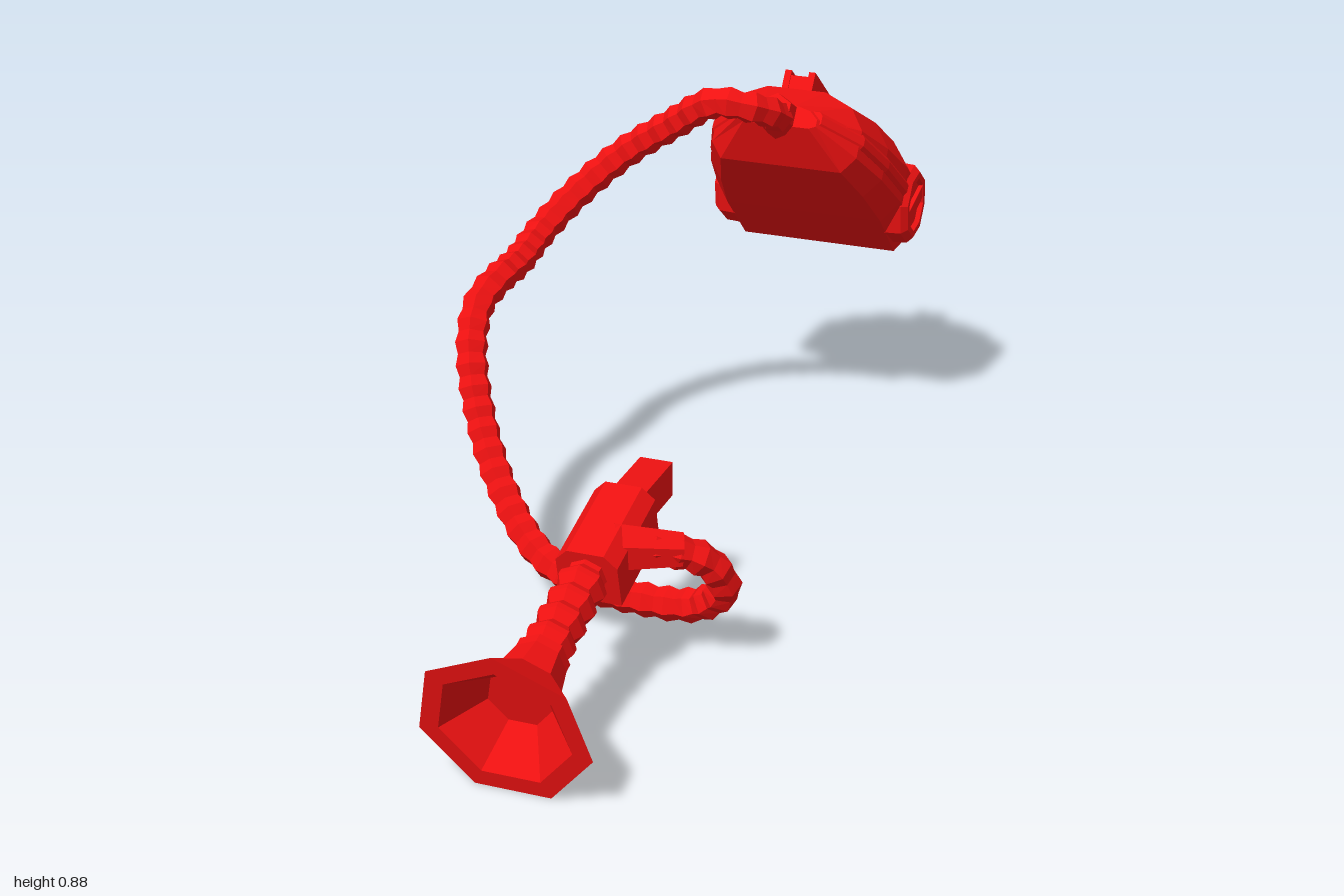
import * as THREE from 'three';

const red = new THREE.MeshStandardMaterial({ color: 0xee1111, flatShading: true });

function add(parent, name, geometry, x = 0, y = 0, z = 0) {
  const mesh = new THREE.Mesh(geometry, red);
  mesh.name = name;
  mesh.position.set(x, y, z);
  parent.add(mesh);
  return mesh;
}

// Closed skin through rings of [x, y, z] points, counter-clockwise and running towards -z
function loft(rings) {
  const n = rings[0].length, last = (rings.length - 1) * n, index = [];
  for (let i = 0; i < rings.length - 1; i++) {
    for (let j = 0; j < n; j++) {
      const a = i * n + j, b = i * n + (j + 1) % n;
      index.push(a, a + n, b, b, a + n, b + n);
    }
  }
  for (let j = 1; j < n - 1; j++) {
    index.push(0, j, j + 1, last, last + j + 1, last + j);
  }
  const g = new THREE.BufferGeometry();
  g.setAttribute('position', new THREE.Float32BufferAttribute(rings.flat(2), 3));
  g.setIndex(index);
  g.computeVertexNormals();
  return g;
}

const mirrorRing = (half, z) => [
  ...half.map(([x, y]) => [x, y, z]),
  ...half.slice().reverse().map(([x, y]) => [-x, y, z]),
];

function makeTank() {
  const tank = new THREE.Group();
  tank.name = 'tank';
  tank.position.set(0.13, 0.8, -0.49);
  tank.rotation.x = -0.6435;

  // Shell stations: distance from the hose end, half width, bottom, top
  const stations = [
    [0, 0.085, -0.012, 0.035], [0.09, 0.158, -0.07, 0.1], [0.2, 0.19, -0.083, 0.114],
    [0.32, 0.208, -0.096, 0.116], [0.485, 0.206, -0.112, 0.112], [0.572, 0.165, -0.088, 0.082],
  ];
  add(tank, 'tankShell', loft(stations.map(([a, w, lo, hi]) => mirrorRing([
    [w * 0.83, lo], [w, lo * 0.5], [w, hi * 0.25], [w * 0.8, hi * 0.72], [w * 0.4, hi],
  ], -a))));

  // Raised seam around the front half
  add(tank, 'seamBand', loft(stations.slice(0, 4).map(([a, w], i) => {
    const y = 0.012 - i * 0.009, e = w + 0.008;
    return mirrorRing([[e - 0.006, y - 0.016], [e, y - 0.008], [e, y + 0.008], [e - 0.006, y + 0.016]], -a - 0.006);
  })));

  // Top rail: low centre strip between two lips
  add(tank, 'railCentre', new THREE.BoxGeometry(0.05, 0.06, 0.43), 0, 0.1, -0.307);
  for (const s of [-1, 1]) {
    add(tank, 'railLip', new THREE.BoxGeometry(0.014, 0.06, 0.435), s * 0.026, 0.11, -0.307);

    // Octagonal side cap with a slotted face
    const cap = new THREE.Group();
    cap.name = 'sideCap';
    cap.position.set(s * 0.2, -0.022, -0.413);
    cap.rotation.z = -s * Math.PI / 2;
    tank.add(cap);
    const profile = [[0, -0.03], [0.087, -0.03], [0.085, 0.006], [0.072, 0.019], [0.058, 0.019], [0.054, 0.009], [0, 0.009]];
    add(cap, 'capRing', new THREE.LatheGeometry(profile.map(p => new THREE.Vector2(...p)), 8, Math.PI / 8));
    const bar = add(cap, 'capBar', new THREE.BoxGeometry(0.028, 0.012, 0.11), 0, 0.012, 0);
    bar.rotation.y = s * 0.9;
  }

  // Hose collar
  const collar = add(tank, 'hoseCollar', new THREE.CylinderGeometry(0.037, 0.046, 0.05, 6), 0, 0.01, 0.005);
  collar.rotation.x = Math.PI / 2;
  return tank;
}

function makeHose() {
  const path = new THREE.CatmullRomCurve3([
    [0.13, 0.79, -0.51], [0.135, 0.825, -0.45], [0.1, 0.85, -0.4], [0.03, 0.855, -0.39],
    [-0.07, 0.79, -0.41], [-0.17, 0.72, -0.405], [-0.255, 0.64, -0.345], [-0.3, 0.58, -0.26],
    [-0.307, 0.55, -0.15], [-0.315, 0.54, -0.06], [-0.328, 0.51, 0], [-0.315, 0.44, 0.07],
    [-0.265, 0.32, 0.14], [-0.185, 0.21, 0.215], [-0.09, 0.135, 0.28], [0.005, 0.105, 0.315],
    [0.14, 0.098, 0.33], [0.26, 0.11, 0.335], [0.325, 0.175, 0.37], [0.305, 0.245, 0.41],
    [0.25, 0.275, 0.445], [0.18, 0.285, 0.48],
  ].map(p => new THREE.Vector3(...p)));
  const segments = 100, sides = 6;
  const g = new THREE.TubeGeometry(path, segments, 0.035, sides);
  // Pinch every other ring to make the ribs
  const pos = g.attributes.position, v = new THREE.Vector3();
  for (let i = 1; i <= segments; i += 2) {
    const c = path.getPointAt(i / segments);
    for (let j = 0; j <= sides; j++) {
      const k = i * (sides + 1) + j;
      v.fromBufferAttribute(pos, k).sub(c).multiplyScalar(0.82).add(c);
      pos.setXYZ(k, v.x, v.y, v.z);
    }
  }
  return g;
}

function makeGun() {
  const gun = new THREE.Group();
  gun.name = 'sprayGun';
  gun.position.set(0.13, 0.155, 0.955);
  gun.rotation.x = 0.262;

  // Ribbed pipe, flared horn and its hollow mouth in one seven-sided turn
  const profile = [[0, -0.42], [0.04, -0.42]];
  for (let i = 0; i < 4; i++) {
    const t = -0.395 + i * 0.05;
    profile.push([0.036, t], [0.048, t + 0.018], [0.048, t + 0.03]);
  }
  profile.push([0.042, -0.195], [0.051, -0.188], [0.051, -0.17], [0.063, -0.11], [0.166, 0], [0.128, 0], [0.062, -0.075], [0, -0.075]);
  const horn = new THREE.LatheGeometry(profile.map(p => new THREE.Vector2(...p)), 7, Math.PI);
  add(gun, 'nozzle', horn.rotateX(Math.PI / 2));

  // Body with bevelled top edges
  const s = new THREE.Shape([[-0.06, -0.062], [0.06, -0.062], [0.06, 0.025], [0.036, 0.05], [-0.036, 0.05], [-0.06, 0.025]]
    .map(p => new THREE.Vector2(...p)));
  add(gun, 'gunBody', new THREE.ExtrudeGeometry(s, { depth: 0.2, bevelEnabled: false }), 0, 0, -0.605);
  return gun;
}

export function createModel() {
  const model = new THREE.Group();
  model.name = 'hoseSprayer';
  model.add(makeTank(), makeGun());
  add(model, 'hose', makeHose());

  // Rear grip
  add(model, 'grip', new THREE.BoxGeometry(0.066, 0.07, 0.22), 0.13, 0.3, 0.32);

  // Tapered inlet joining the hose to the gun
  const from = new THREE.Vector3(0.15, 0.285, 0.49), to = new THREE.Vector3(0.265, 0.275, 0.435);
  const dir = to.clone().sub(from);
  const inlet = add(model, 'hoseInlet', new THREE.CylinderGeometry(0.036, 0.05, dir.length(), 6));
  inlet.position.copy(from).addScaledVector(dir, 0.5);
  inlet.quaternion.setFromUnitVectors(new THREE.Vector3(0, 1, 0), dir.normalize());
  return model;
}
